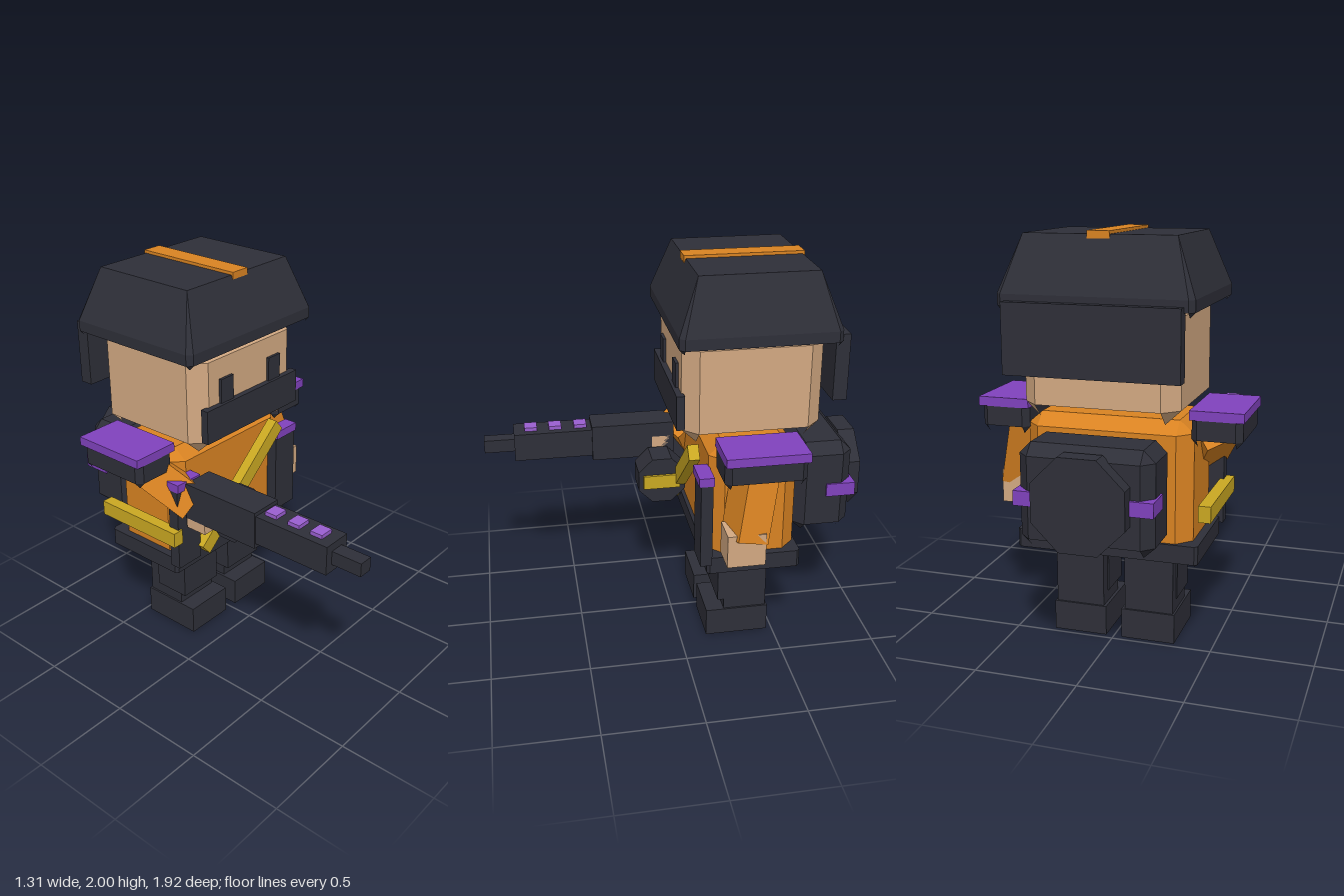
import * as THREE from 'three';
import { ConvexGeometry } from 'three/addons/geometries/ConvexGeometry.js';

const material = (name, color) => {
  const m = new THREE.MeshStandardMaterial({ color, side: THREE.DoubleSide });
  m.name = name;
  return m;
};

// Removes flat and slanted undersides, keeping only small corner triangles
function openBelow(geometry) {
  const src = (geometry.index ? geometry.toNonIndexed() : geometry).attributes.position;
  const [a, b, c, n] = [0, 1, 2, 3].map(() => new THREE.Vector3());
  const kept = [];
  for (let i = 0; i < src.count; i += 3) {
    a.fromBufferAttribute(src, i);
    b.fromBufferAttribute(src, i + 1);
    c.fromBufferAttribute(src, i + 2);
    n.crossVectors(b.clone().sub(a), c.clone().sub(a)).normalize();
    const corner = Math.abs(n.x) > 0.1 && Math.abs(n.z) > 0.1;
    if (n.y < -0.1 && !corner) continue;
    for (const p of [a, b, c]) kept.push(p.x, p.y, p.z);
  }
  const out = new THREE.BufferGeometry();
  out.setAttribute('position', new THREE.Float32BufferAttribute(kept, 3));
  out.computeVertexNormals();
  return out;
}

// Box with cut corners: walls from y0 to y1, a sloped top of height rise, corner points of length drop
function chamferBox(x0, x1, y0, y1, z0, z1, cut, rise, drop, inset = cut) {
  const cx = (x0 + x1) / 2, cz = (z0 + z1) / 2;
  const hx = (x1 - x0) / 2, hz = (z1 - z0) / 2;
  const points = [];
  for (const sx of [-1, 1]) for (const sz of [-1, 1]) {
    const add = (x, y, z) => points.push(new THREE.Vector3(cx + sx * x, y, cz + sz * z));
    for (const y of [y0, y1]) {
      add(hx, y, hz - cut);
      add(hx - cut, y, hz);
    }
    if (drop) add(hx - cut, y0 - drop, hz - cut);
    if (rise) add(hx - inset, y1 + rise, hz - inset);
  }
  return openBelow(new ConvexGeometry(points));
}

export function createModel() {
  const model = new THREE.Group();
  model.name = 'armedFigure';

  const dark = material('charcoal', 0x2e2f38);
  const orange = material('orange', 0xd98322);
  const skin = material('skin', 0xd3a982);
  const purple = material('purple', 0x8042bd);
  const violet = material('lightViolet', 0x9a5fd0);
  const gold = material('gold', 0xcaa822);

  const add = (name, geometry, mat) => {
    const mesh = new THREE.Mesh(geometry, mat);
    mesh.name = name;
    model.add(mesh);
    return mesh;
  };
  const box = (name, mat, x0, x1, y0, y1, z0, z1) => {
    const mesh = add(name, new THREE.BoxGeometry(x1 - x0, y1 - y0, z1 - z0), mat);
    mesh.position.set((x0 + x1) / 2, (y0 + y1) / 2, (z0 + z1) / 2);
    return mesh;
  };
  // Box on both sides of the body
  const pair = (name, mat, x0, x1, ...rest) => {
    box('left' + name, mat, x0, x1, ...rest);
    box('right' + name, mat, -x1, -x0, ...rest);
  };
  // Box stretched between two points
  const limb = (name, mat, from, to, width, depth) => {
    const a = new THREE.Vector3(...from), b = new THREE.Vector3(...to);
    const mesh = add(name, new THREE.BoxGeometry(width, a.distanceTo(b), depth), mat);
    mesh.position.copy(a).add(b).multiplyScalar(0.5);
    mesh.quaternion.setFromUnitVectors(new THREE.Vector3(0, 1, 0), b.sub(a).normalize());
    return mesh;
  };
  // Eight-sided disc given by the distance to its flats
  const octagon = (apothem, width) =>
    new THREE.CylinderGeometry(apothem / Math.cos(Math.PI / 8), apothem / Math.cos(Math.PI / 8), width, 8)
      .rotateY(Math.PI / 8);

  // Legs
  pair('Foot', dark, 0.04, 0.31, 0, 0.15, -0.47, -0.14);
  pair('Leg', dark, 0.055, 0.3, 0.15, 0.45, -0.46, -0.235);
  pair('KneePad', dark, 0.048, 0.306, 0.21, 0.39, -0.4, -0.2);

  // Body
  add('torso', chamferBox(-0.41, 0.41, 0.53, 1.08, -0.575, -0.13, 0.07, 0.06, 0), orange);
  add('belt', chamferBox(-0.45, 0.45, 0.47, 0.56, -0.59, -0.11, 0.015, 0, 0.01), dark);
  pair('VestStrap', dark, 0.31, 0.47, 0.53, 0.98, -0.13, -0.07);
  pair('VestStrapCap', purple, 0.31, 0.472, 0.975, 1.02, -0.135, -0.06);

  // Bandolier
  limb('chestBand', gold, [-0.3, 0.572, -0.065], [0.295, 1.08, -0.065], 0.08, 0.055);
  box('sideBand', gold, -0.51, -0.45, 0.68, 0.76, -0.58, -0.06);

  // Shoulders
  for (const s of [-1, 1]) {
    const side = s > 0 ? 'left' : 'right';
    const x0 = s > 0 ? 0.4 : -0.64;
    add(side + 'ShoulderPad', chamferBox(x0, x0 + 0.24, 1.06, 1.155, -0.55, -0.15, 0.03, 0, 0.035), dark);
  }
  pair('ShoulderPlate', purple, 0.395, 0.65, 1.155, 1.2, -0.555, -0.15);

  // Arms
  limb('leftArm', orange, [0.45, 1.1, -0.35], [0.548, 0.72, -0.27], 0.16, 0.2);
  box('leftHand', skin, 0.475, 0.63, 0.61, 0.78, -0.36, -0.17);
  limb('rightArm', orange, [-0.47, 1.08, -0.34], [-0.35, 0.88, -0.06], 0.18, 0.18);
  box('rightHand', skin, -0.415, -0.245, 0.76, 0.93, -0.06, 0.06);

  // Head
  add('head', chamferBox(-0.375, 0.375, 1.21, 1.63, -0.69, 0, 0.075, 0, 0.07), skin);
  pair('Eye', dark, 0.135, 0.225, 1.38, 1.525, -0.01, 0.015);
  box('faceBar', dark, -0.345, 0.345, 1.225, 1.4, -0.01, 0.03);

  // Helmet
  add('helmet', chamferBox(-0.46, 0.46, 1.665, 1.72, -0.74, 0.035, 0.025, 0.265, 0.025, 0.1), dark);
  box('helmetStripe', orange, -0.053, 0.053, 1.965, 2, -0.65, -0.055);
  box('neckGuard', dark, -0.415, 0.415, 1.36, 1.69, -0.785, -0.715);

  // Backpack
  add('backpack', chamferBox(-0.32, 0.32, 0.63, 1.02, -0.885, -0.59, 0.055, 0.055, 0.05), dark);
  const pocket = octagon(0.22, 0.09).rotateX(Math.PI / 2).translate(0, 0.83, -0.915);
  add('backpackPocket', openBelow(pocket), dark);
  pair('BackpackClasp', purple, 0.2, 0.33, 0.79, 0.86, -0.9, -0.75);

  // Drum pouch
  const drum = octagon(0.125, 0.16).rotateZ(Math.PI / 2).translate(-0.14, 0.755, 0.035);
  add('drumPouch', openBelow(drum), dark);
  box('drumBand', gold, -0.23, -0.045, 0.715, 0.79, -0.06, 0.135);

  // Gun
  box('gunBody', dark, -0.418, -0.245, 0.815, 1.01, -0.06, 0.385);
  box('gunBarrel', dark, -0.41, -0.255, 0.84, 0.99, 0.385, 0.8);
  box('gunMuzzle', dark, -0.37, -0.295, 0.88, 0.95, 0.8, 0.96);
  for (const z of [0.41, 0.545, 0.675]) box('gunLight', violet, -0.37, -0.295, 0.98, 1.01, z, z + 0.067);

  return model;
}
